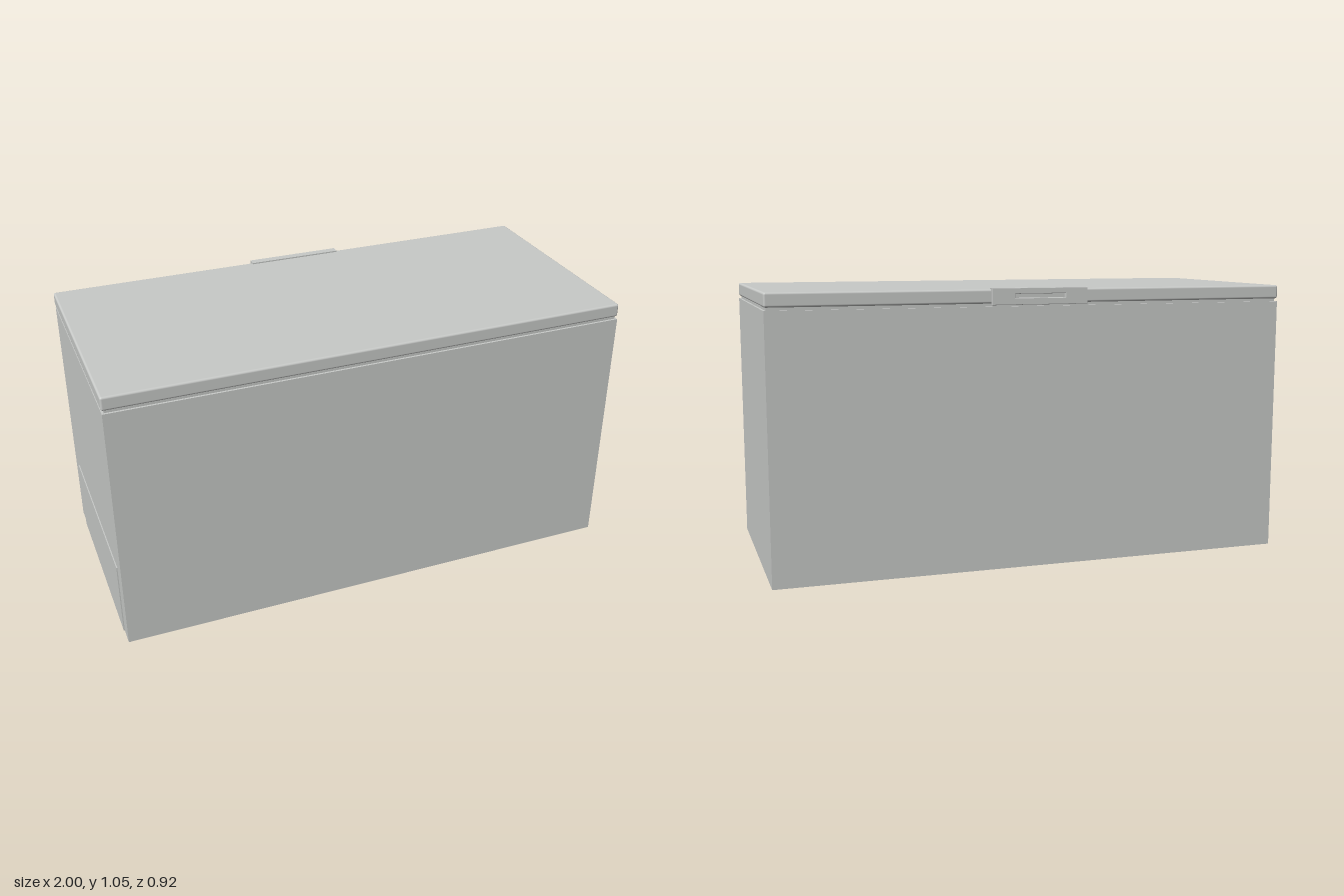
import * as THREE from 'three';
import { RoundedBoxGeometry } from 'three/addons/geometries/RoundedBoxGeometry.js';

export function createModel() {
  const group = new THREE.Group();
  group.name = 'chestFreezer';
  const grey = new THREE.MeshStandardMaterial({ color: 0xc8cac8 });
  grey.name = 'light grey enamel';

  const add = (name, geometry) => {
    const mesh = new THREE.Mesh(geometry, grey);
    mesh.name = name;
    group.add(mesh);
    return mesh;
  };
  // Box given by its minimum and maximum corners, optionally with rounded edges
  const block = (name, [x0, y0, z0], [x1, y1, z1], radius = 0) => {
    const size = [x1 - x0, y1 - y0, z1 - z0];
    const geometry = radius
      ? new RoundedBoxGeometry(...size, 3, radius)
      : new THREE.BoxGeometry(...size);
    add(name, geometry).position.set((x0 + x1) / 2, (y0 + y1) / 2, (z0 + z1) / 2);
  };

  const BACK = -0.442, FRONT = 0.458;

  // Cabinet, recessed seal and lid
  block('cabinet', [-0.996, 0, BACK], [0.998, 0.984, FRONT]);
  block('lidSeal', [-0.988, 0.98, BACK + 0.008], [0.99, 1.0, FRONT - 0.008]);
  block('lid', [-0.998, 0.995, BACK], [0.998, 1.047, FRONT], 0.008);

  // Raised compressor cover, low on the right side
  block('compressorCover', [-1, 0.002, -0.35], [-0.99, 0.3, 0.39]);

  // Handle: a plate with a grip slot, hooked over the lid edge
  const plate = new THREE.Shape();
  plate.moveTo(-0.183, 0.992);
  plate.lineTo(0.183, 0.992);
  plate.lineTo(0.183, 1.05);
  plate.lineTo(-0.183, 1.05);
  plate.closePath();
  const slot = new THREE.Path();
  slot.moveTo(-0.1, 1.013);
  slot.lineTo(-0.1, 1.032);
  slot.lineTo(0.1, 1.032);
  slot.lineTo(0.1, 1.013);
  slot.closePath();
  plate.holes.push(slot);
  const plateGeometry = new THREE.ExtrudeGeometry(plate, {
    depth: 0.012, bevelEnabled: true, bevelThickness: 0.002, bevelSize: 0.002, bevelSegments: 2,
  });
  add('handlePlate', plateGeometry).position.z = BACK - 0.014;
  block('handleFlange', [-0.185, 1.04, BACK - 0.012], [0.185, 1.052, BACK + 0.017]);

  return group;
}
